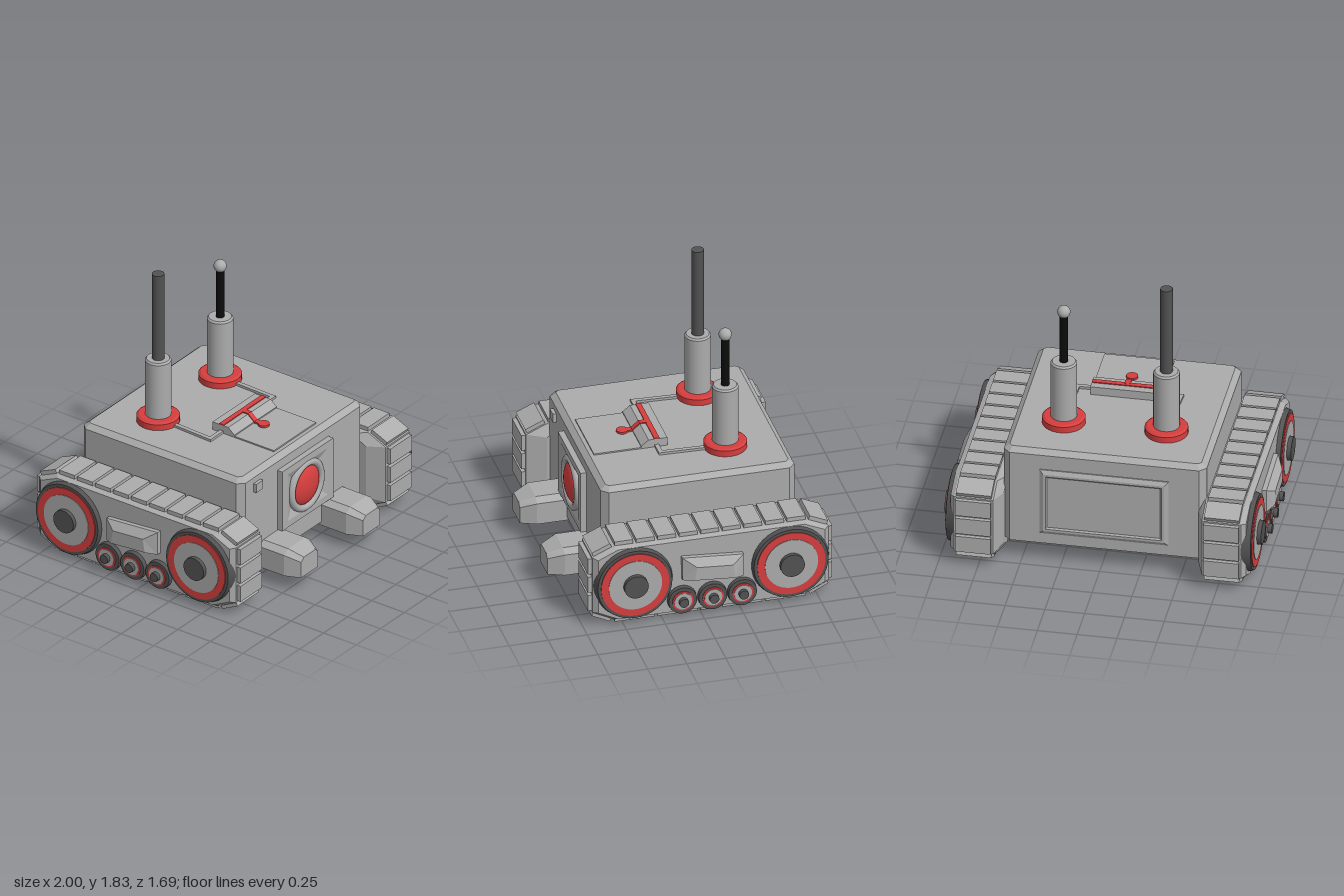
import * as THREE from 'three';

const mat = (name, color) => Object.assign(new THREE.MeshStandardMaterial({ color }), { name });

// Closed faceted solid through a list of equal-length rings, capped at both ends
function loft(rings) {
  const n = rings[0].length, tris = [];
  const tri = (a, b, c) => tris.push([a, b, c]);
  for (let r = 0; r < rings.length - 1; r++)
    for (let i = 0; i < n; i++) {
      const j = (i + 1) % n, A = rings[r], B = rings[r + 1];
      tri(A[i], A[j], B[j]);
      tri(A[i], B[j], B[i]);
    }
  const first = rings[0], last = rings[rings.length - 1];
  for (let i = 1; i < n - 1; i++) {
    tri(first[0], first[i + 1], first[i]);
    tri(last[0], last[i], last[i + 1]);
  }
  const v = (p) => new THREE.Vector3(...p);
  const c = v(first[0]);
  let volume = 0;
  for (const t of tris) volume += v(t[0]).sub(c).dot(v(t[1]).sub(c).cross(v(t[2]).sub(c)));
  if (volume < 0) tris.forEach((t) => t.reverse());
  const g = new THREE.BufferGeometry();
  g.setAttribute('position', new THREE.Float32BufferAttribute(tris.flat(2), 3));
  g.computeVertexNormals();
  return g;
}

// Mirror a geometry in x, keeping its faces outward
function mirrorX(geo) {
  const g = (geo.index ? geo.toNonIndexed() : geo.clone()).scale(-1, 1, 1);
  const order = [];
  for (let i = 0; i < g.attributes.position.count; i += 3) order.push(i, i + 2, i + 1);
  return g.setIndex(order);
}

export function createModel() {
  const root = new THREE.Group();
  root.name = 'trackedRobot';
  const grey = mat('grey', 0xacacac);
  const dark = mat('darkGrey', 0x525252);
  const red = mat('red', 0xd63e3e);
  const black = mat('black', 0x0c0c0c);

  const add = (name, geo, m, x = 0, y = 0, z = 0, parent = root) => {
    const mesh = new THREE.Mesh(geo, m);
    mesh.name = name;
    mesh.position.set(x, y, z);
    parent.add(mesh);
  };
  const box = (w, h, d) => new THREE.BoxGeometry(w, h, d);
  const cyl = (r1, r2, h, n) => new THREE.CylinderGeometry(r1, r2, h, n);
  const lathe = (pts, n) => new THREE.LatheGeometry(pts.map(([x, y]) => new THREE.Vector2(x, y)), n);
  const CX = -0.017;

  // Hull with chamfered corners and top edge
  const hullRing = (y, inset, c) => {
    const x0 = -0.655 + inset, x1 = 0.62 - inset, z0 = -0.69 + inset, z1 = 0.55 - inset;
    return [[x0 + c, z0], [x1 - c, z0], [x1, z0 + c], [x1, z1 - c], [x1 - c, z1], [x0 + c, z1], [x0, z1 - c], [x0, z0 + c]]
      .map(([x, z]) => [x, y, z]);
  };
  add('hull', loft([hullRing(0.13, 0, 0.042), hullRing(0.765, 0, 0.042), hullRing(0.795, 0.035, 0.02)]), grey);

  // Rear hatch: bevelled frame with a sunken centre
  const rect = (w, h, z) => [[-w, -h, z], [w, -h, z], [w, h, z], [-w, h, z]];
  add('rearHatch', loft([rect(0.405, 0.23, 0), rect(0.405, 0.23, -0.012), rect(0.38, 0.205, -0.027),
    rect(0.365, 0.19, -0.027), rect(0.355, 0.18, -0.017)]), grey, CX, 0.435, -0.685);

  // Front eye housing: plate with a tapering square recess
  const housing = new THREE.Group();
  housing.name = 'eyeHousing';
  housing.position.set(CX, 0.49, 0);
  root.add(housing);
  add('housingFrame', loft([rect(0.265, 0.21, 0.54), rect(0.265, 0.21, 0.588), rect(0.208, 0.165, 0.588),
    rect(0.115, 0.08, 0.553)]), grey, 0, 0.005, 0, housing);
  add('eyeRing', new THREE.TorusGeometry(0.153, 0.025, 12, 40), grey, 0, 0, 0.574, housing);
  const eye = new THREE.SphereGeometry(0.138, 28, 14, 0, Math.PI * 2, 0, Math.PI / 2).rotateX(Math.PI / 2).scale(1, 1, 0.4);
  add('eye', eye, red, 0, 0, 0.56, housing);
  add('sensorSquare', box(0.07, 0.06, 0.03), grey, -0.495, 0.695, 0.557);

  // Front feet
  const footRing = (z, w, shoulder, top) => [[-w, 0.105, z], [w, 0.105, z], [w, shoulder, z],
    [w * 0.68, top, z], [-w * 0.68, top, z], [-w, shoulder, z]];
  for (const x of [-0.34, 0.305])
    add('frontFoot', loft([footRing(0.53, 0.13, 0.25, 0.28), footRing(0.74, 0.13, 0.25, 0.28),
      footRing(0.84, 0.088, 0.215, 0.24)]), grey, x);

  // Antennas on red collars
  const collar = lathe([[0, 0], [0.135, 0], [0.135, 0], [0.135, 0.042], [0.135, 0.042],
    [0.12, 0.052], [0.12, 0.052], [0.08, 0.052]], 32);
  const sleeve = lathe([[0.082, 0], [0.082, 0.425], [0.082, 0.425], [0.072, 0.437], [0.072, 0.437], [0, 0.437]], 28);
  for (const x of [-0.34, 0.305]) {
    add('antennaCollar', collar, red, x, 0.793, -0.322);
    add('antennaSleeve', sleeve, grey, x, 0.8, -0.322);
  }
  add('tallRod', cyl(0.039, 0.039, 0.62, 20), dark, -0.34, 1.525, -0.322);
  add('shortRod', cyl(0.027, 0.027, 0.36, 16), black, 0.305, 1.39, -0.322);
  add('rodBall', new THREE.SphereGeometry(0.041, 20, 14), grey, 0.305, 1.594, -0.322);

  // Top hatch with a wedge, red bar and red lever
  add('topHatch', box(0.44, 0.02, 0.47), grey, CX, 0.794, 0.255);
  const wedge = [[0.02, 0.79], [0.02, 0.85], [0.14, 0.85], [0.187, 0.812], [0.187, 0.79]];
  add('topWedge', loft([-0.237, 0.203].map((x) => wedge.map(([z, y]) => [x, y, z]))), grey);
  add('redBar', box(0.44, 0.008, 0.034), red, CX, 0.852, 0.087);
  const leverPath = [[0.09, 0.852], [0.142, 0.852], [0.19, 0.811], [0.25, 0.808]];
  add('lever', loft(leverPath.map(([z, y]) => [[CX - 0.018, y - 0.01, z], [CX + 0.018, y - 0.01, z],
    [CX + 0.018, y + 0.005, z], [CX - 0.018, y + 0.005, z]])), red);
  add('leverKnob', cyl(0.037, 0.037, 0.016, 24), red, CX, 0.81, 0.25);

  // Conduits from the collars to the wedge
  for (const path of [[[-0.34, -0.2], [-0.355, 0.088], [-0.23, 0.088]], [[0.305, -0.2], [0.295, 0.088], [0.19, 0.088]]])
    for (let i = 0; i < 2; i++) {
      const [[x0, z0], [x1, z1]] = [path[i], path[i + 1]];
      const len = Math.hypot(x1 - x0, z1 - z0) + 0.028;
      add('conduit', box(0.028, 0.022, len).rotateY(Math.atan2(x1 - x0, z1 - z0)), grey, (x0 + x1) / 2, 0.8, (z0 + z1) / 2);
    }

  // Track units, built for +x and mirrored for -x. Outline is [z, y]
  const outline = [[0.69, 0.095], [0.69, 0.485], [0.555, 0.545], [-0.685, 0.545],
    [-0.82, 0.485], [-0.82, 0.095], [-0.685, 0.028], [0.555, 0.028]];
  const plates = [3, 1, 9, 1, 3, 1, 9, 1];
  const section = (x, sz, sy) => outline.map(([z, y]) => [x, 0.287 + (y - 0.287) * sy, -0.065 + (z + 0.065) * sz]);
  for (const side of [1, -1]) {
    const unit = new THREE.Group();
    unit.name = side > 0 ? 'leftTrack' : 'rightTrack';
    root.add(unit);
    const part = (name, geo, m) => add(name, side > 0 ? geo : mirrorX(geo), m, 0, 0, 0, unit);

    part('trackBody', loft([section(0.612, 0.84, 0.93), section(0.655, 1, 1), section(0.9, 1, 1), section(0.928, 0.96, 0.96)]), grey);

    outline.forEach(([z0, y0], e) => {
      const [z1, y1] = outline[(e + 1) % outline.length];
      const dz = z1 - z0, dy = y1 - y0, len = Math.hypot(dz, dy), n = plates[e];
      for (let i = 0; i < n; i++) {
        const t = (i + 0.5) / n;
        part('treadPlate', box(0.222, 0.034, len / n - 0.02).rotateX(Math.atan2(-dy, dz))
          .translate(0.779, y0 + dy * t - (dz / len) * 0.01, z0 + dz * t + (dy / len) * 0.01), grey);
      }
    });

    // Wheels as stacked discs: tyre, red ring, grey face, hub
    const wheel = (label, z, y, radii) => {
      const outer = [0.957, 0.963, 0.967, 0.994];
      radii.forEach((r, k) => {
        const h = outer[k] - 0.9;
        part(label + ['Tyre', 'Ring', 'Face', 'Hub'][k], cyl(k ? r : r * 0.93, r, h, 40).rotateZ(-Math.PI / 2)
          .translate(0.9 + h / 2, y, z), [dark, red, grey, dark][k]);
      });
    };
    for (const z of [0.432, -0.567]) wheel('bigWheel', z, 0.287, [0.256, 0.218, 0.17, 0.077]);
    for (const z of [0.126, -0.067, -0.257]) wheel('smallWheel', z, 0.125, [0.097, 0.067, 0.056, 0.03]);

    // Raised faceted side panel
    const base = [[0.13, 0.43], [-0.262, 0.4], [-0.262, 0.245], [0.128, 0.272]];
    const peak = [[0.045, 0.372], [-0.185, 0.355], [-0.2, 0.262], [0.06, 0.282]];
    const lift = (pts, x) => pts.map(([z, y]) => [x, y, z]);
    part('sidePanel', loft([lift(base, 0.91), lift(base, 0.957), lift(peak, 0.998)]), grey);
  }
  return root;
}
